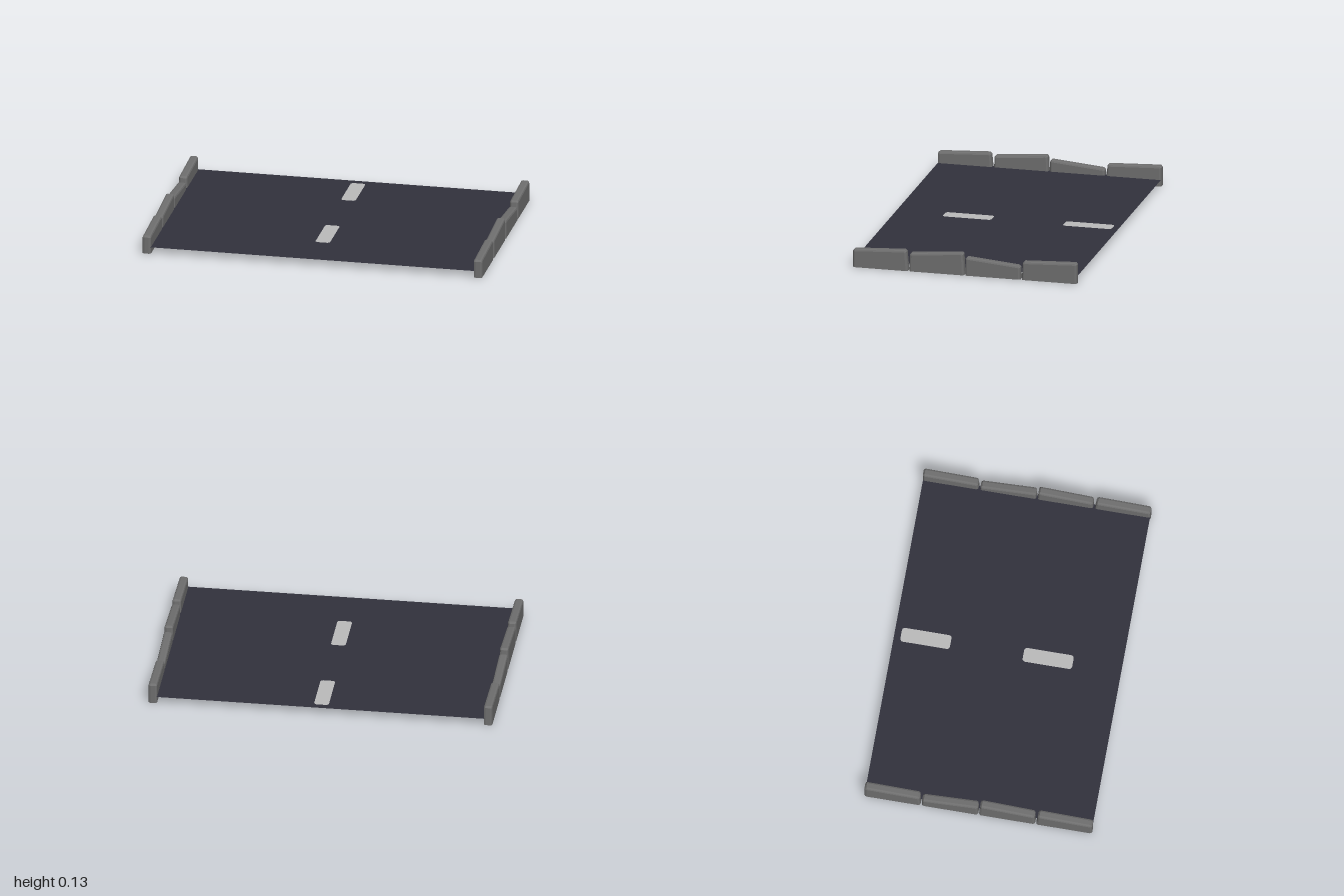
import * as THREE from 'three';

const road = new THREE.MeshStandardMaterial({ color: 0x32323d, side: THREE.DoubleSide });
const paint = new THREE.MeshStandardMaterial({ color: 0xbcbcbc, side: THREE.DoubleSide });
const stone = new THREE.MeshStandardMaterial({ color: 0x6f6f6f });
road.name = 'asphalt';
paint.name = 'lane paint';
stone.name = 'kerb stone';

const ROAD_Y = 0.04;
const KERB_WIDTH = 0.05;
const BEVEL = 0.012;

// Rounded rectangle centred on (x, y)
function roundedRect(target, x, y, w, h, r) {
  const a = w / 2 - r, b = h / 2 - r;
  target.absarc(x + a, y + b, r, 0, Math.PI / 2);
  target.absarc(x - a, y + b, r, Math.PI / 2, Math.PI);
  target.absarc(x - a, y - b, r, Math.PI, Math.PI * 1.5);
  target.absarc(x + a, y - b, r, Math.PI * 1.5, Math.PI * 2);
  target.closePath();
  return target;
}

// Flat sheet lying at road height; shape y becomes -z
function sheet(shape, material, name) {
  const geometry = new THREE.ShapeGeometry(shape, 4);
  geometry.rotateX(-Math.PI / 2);
  const mesh = new THREE.Mesh(geometry, material);
  mesh.position.y = ROAD_Y;
  mesh.name = name;
  return mesh;
}

// Kerb stone: sloping side profile extruded across x, chamfered but flat underneath
function kerbGeometry({ top, bottom, height }) {
  const [f, b] = top, [hf, hb] = height, c = 0.01;
  const shape = new THREE.Shape([
    [-bottom[0], 0], [-bottom[1], 0],
    [-b, hb - c], [-b - c, hb],
    [-f + c, hf], [-f, hf - c],
  ].map(([u, v]) => new THREE.Vector2(u, v)));
  const geometry = new THREE.ExtrudeGeometry(shape, {
    depth: KERB_WIDTH - 2 * BEVEL, bevelEnabled: true, bevelSegments: 2,
    bevelSize: BEVEL, bevelThickness: BEVEL, bevelOffset: -BEVEL,
  });
  geometry.translate(0, 0, -KERB_WIDTH / 2 + BEVEL);
  const p = geometry.attributes.position;
  for (let i = 0; i < p.count; i++) if (p.getY(i) < 0.03) p.setY(i, 0);
  geometry.rotateY(Math.PI / 2); // profile u becomes -z
  geometry.computeVertexNormals();
  return geometry;
}

export function createModel() {
  const model = new THREE.Group();
  model.name = 'road section';

  // Road surface with inlaid lane dashes
  const surface = new THREE.Shape();
  surface.moveTo(-0.975, -0.664).lineTo(0.975, -0.664).lineTo(0.975, 0.664).lineTo(-0.975, 0.664).closePath();
  for (const z of [0.235, -0.48]) {
    surface.holes.push(roundedRect(new THREE.Path(), 0, -z, 0.086, 0.29, 0.018));
    model.add(sheet(roundedRect(new THREE.Shape(), 0, -z, 0.086, 0.29, 0.018), paint, 'laneDash'));
  }
  model.add(sheet(surface, road, 'roadSurface'));

  // Kerb stones, front to back: z at top and bottom, and heights
  const stones = [
    { top: [0.666, 0.348], bottom: [0.666, 0.338], height: [0.108, 0.123] },
    { top: [0.329, 0.01], bottom: [0.332, 0.004], height: [0.109, 0.134] },
    { top: [-0.003, -0.329], bottom: [-0.001, -0.331], height: [0.109, 0.081] },
    { top: [-0.343, -0.666], bottom: [-0.338, -0.666], height: [0.109, 0.122] },
  ].map(kerbGeometry);
  for (const side of [1, -1]) {
    const kerb = new THREE.Group();
    kerb.name = side > 0 ? 'leftKerb' : 'rightKerb';
    kerb.position.x = side * (1 - KERB_WIDTH / 2);
    for (const geometry of stones) {
      const mesh = new THREE.Mesh(geometry, stone);
      mesh.name = 'kerbStone';
      kerb.add(mesh);
    }
    model.add(kerb);
  }
  return model;
}
